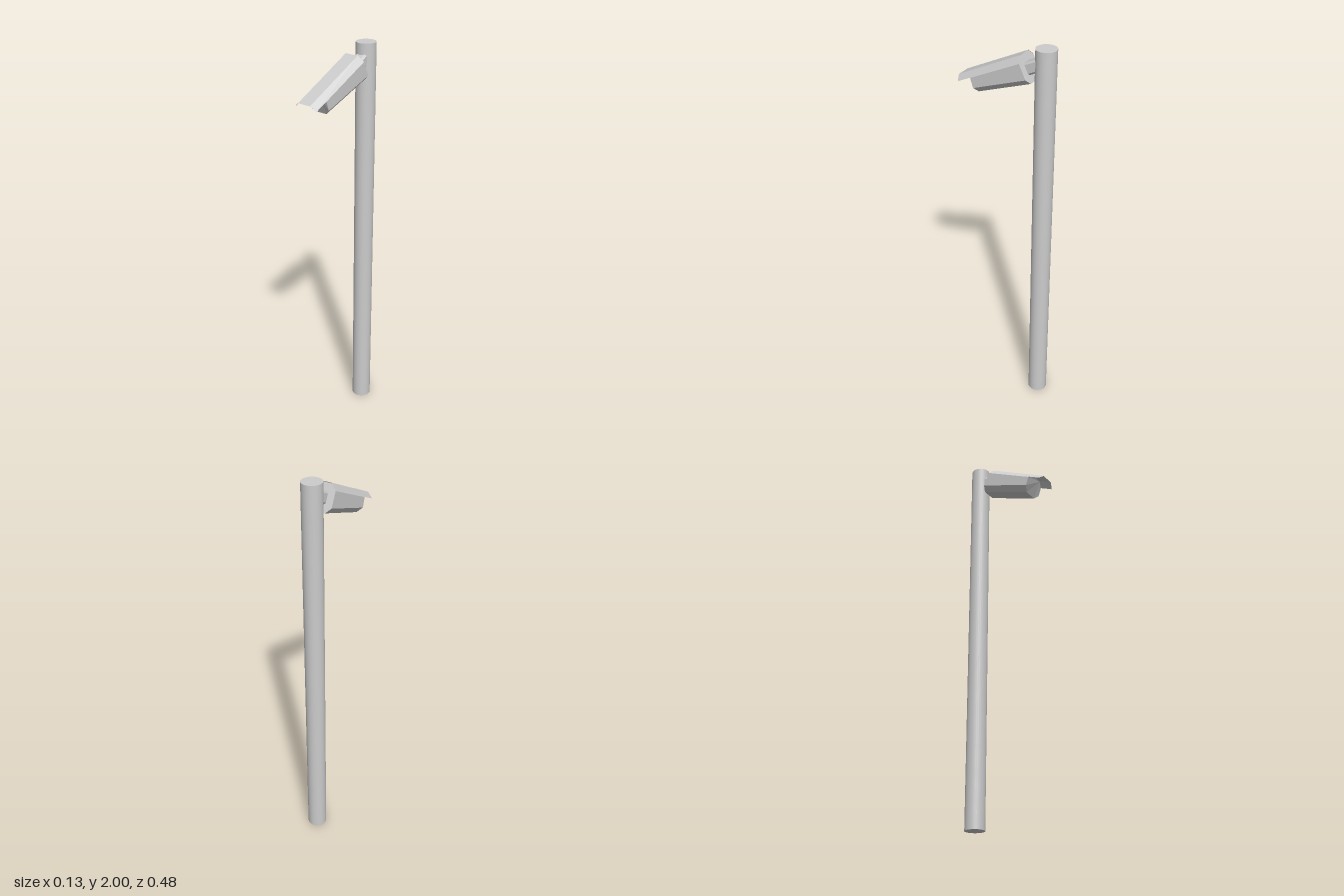
import * as THREE from 'three';

const material = new THREE.MeshStandardMaterial({ color: 0xcccccc, flatShading: true });
const sheetMaterial = new THREE.MeshStandardMaterial({ color: 0xcccccc, flatShading: true, side: THREE.DoubleSide });
const poleMaterial = new THREE.MeshStandardMaterial({ color: 0xcccccc });

function facetedMesh(name, triangles, mat) {
  const geometry = new THREE.BufferGeometry();
  geometry.setAttribute('position', new THREE.Float32BufferAttribute(triangles.flat(2), 3));
  geometry.computeVertexNormals();
  const mesh = new THREE.Mesh(geometry, mat);
  mesh.name = name;
  return mesh;
}

// Rows are [half width, z, y] from top to bottom, mirrored into a closed ring
function ring(rows) {
  const left = rows.map(([w, z, y]) => [w, y, z]);
  const right = rows.map(([w, z, y]) => [-w, y, z]).reverse();
  return [...left, ...right];
}

// Closed solid between a front ring and a back ring
function loft(name, frontRows, backRows) {
  const a = ring(frontRows), b = ring(backRows), n = a.length;
  const triangles = [];
  for (let i = 0; i < n; i++) {
    const j = (i + 1) % n;
    triangles.push([a[i], a[j], b[j]], [a[i], b[j], b[i]]);
    if (i > 0 && i < n - 1) triangles.push([a[0], a[j], a[i]], [b[0], b[i], b[j]]);
  }
  return facetedMesh(name, triangles, material);
}

export function createModel() {
  const model = new THREE.Group();
  model.name = 'cameraOnPole';

  // Tall round pole
  const pole = new THREE.Mesh(new THREE.CylinderGeometry(0.049, 0.049, 2, 32), poleMaterial);
  pole.name = 'pole';
  pole.position.set(-0.005, 1, -0.192);
  model.add(pole);

  const camera = new THREE.Group();
  camera.name = 'securityCamera';
  model.add(camera);

  // Tilted eight-sided housing, shallower towards the front
  camera.add(loft('housing',
    [[0.036, 0.17, 1.829], [0.063, 0.16, 1.807], [0.063, 0.145, 1.761], [0.036, 0.132, 1.737]],
    [[0.036, -0.083, 1.958], [0.063, -0.095, 1.933], [0.063, -0.128, 1.864], [0.036, -0.14, 1.84]]));

  // Thin folded visor over the top three faces
  const front = [[0.064, 1.775, 0.228], [0.036, 1.798, 0.239], [-0.036, 1.798, 0.239], [-0.064, 1.775, 0.228]];
  const back = [[0.064, 1.934, -0.095], [0.036, 1.96, -0.083], [-0.036, 1.96, -0.083], [-0.064, 1.934, -0.095]];
  const folds = [];
  for (let i = 0; i < 3; i++) {
    folds.push([front[i], back[i], back[i + 1]], [front[i], back[i + 1], front[i + 1]]);
  }
  camera.add(facetedMesh('visor', folds, sheetMaterial));

  // Chamfered arm running up and back into the pole
  camera.add(loft('mountingArm',
    [[0.021, -0.098, 1.924], [0.029, -0.102, 1.916], [0.029, -0.12, 1.88], [0.021, -0.124, 1.872]],
    [[0.021, -0.165, 1.957], [0.029, -0.165, 1.947], [0.029, -0.165, 1.902], [0.021, -0.165, 1.892]]));

  return model;
}
